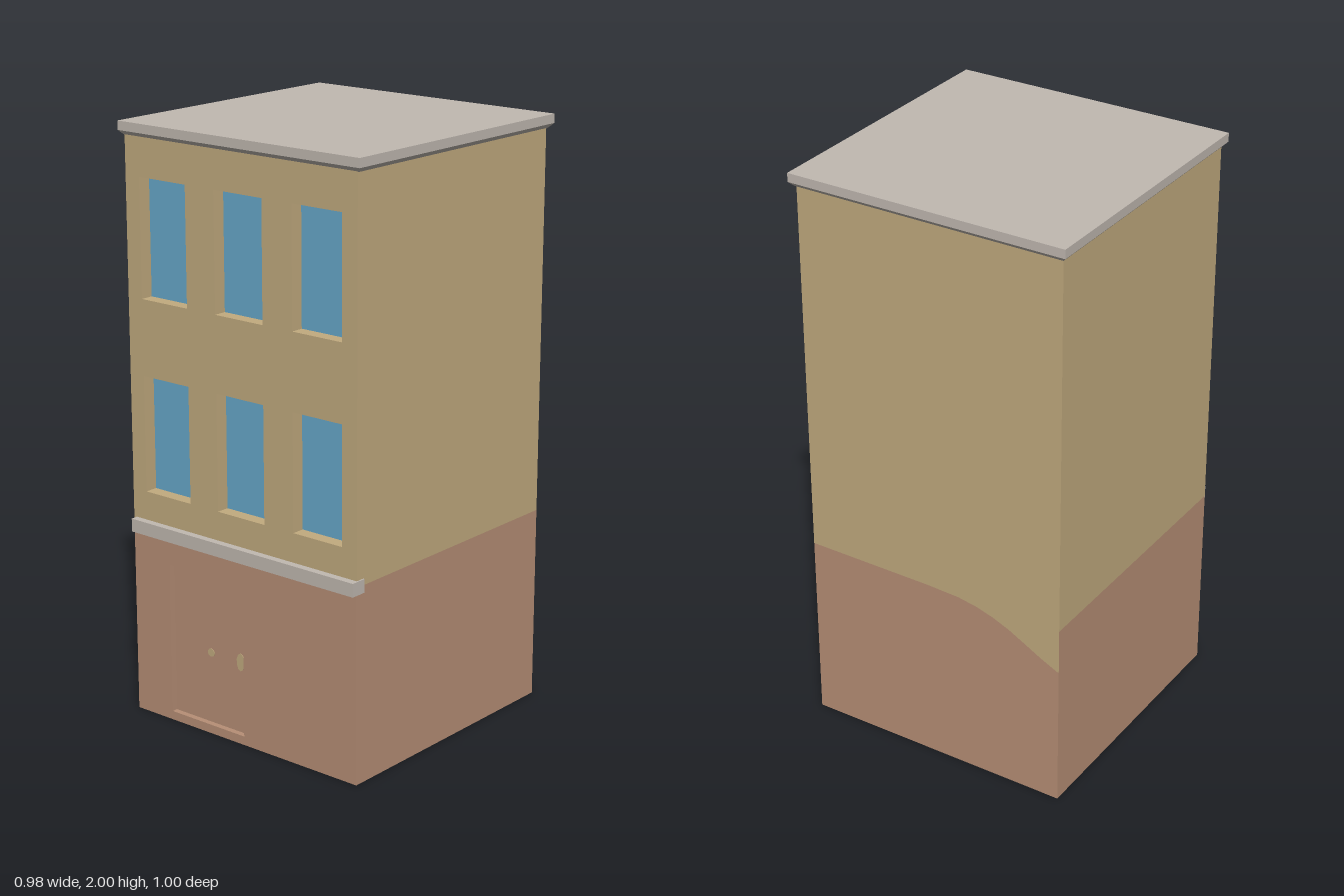
import * as THREE from 'three';

const mat = (name, color) => new THREE.MeshStandardMaterial({ name, color, side: THREE.DoubleSide });

export function createModel() {
  const model = new THREE.Group();
  model.name = 'townHouse';
  const ochre = mat('ochrePlaster', 0xc2ab7f);
  const brick = mat('brickPlaster', 0xb78f76);
  const glass = mat('windowGlass', 0x67a9ca);
  const stone = mat('paleStone', 0xc1b9b1);

  // Wall extents; the shell is hollow and open underneath
  const X0 = -0.477, X1 = 0.472, Z0 = -0.479, Z1 = 0.472;
  const SPLIT = 0.663, TOP = 1.96;

  const add = (name, geometry, material, x = 0, y = 0, z = 0) => {
    const mesh = new THREE.Mesh(geometry, material);
    mesh.name = name;
    mesh.position.set(x, y, z);
    model.add(mesh);
    return mesh;
  };
  const outline = (points) => new THREE.Shape(points.map(([x, y]) => new THREE.Vector2(x, y)));
  const rect = (x0, y0, x1, y1) => outline([[x0, y0], [x1, y0], [x1, y1], [x0, y1]]);

  // Open four-sided sleeve plus a panel at its back
  const recess = (name, [x0, y0, x1, y1], depth, reveal, panel) => {
    const w = x1 - x0, h = y1 - y0, x = (x0 + x1) / 2, y = (y0 + y1) / 2;
    let sleeve = new THREE.CylinderGeometry(Math.SQRT1_2, Math.SQRT1_2, 1, 4, 1, true, Math.PI / 4);
    sleeve.rotateX(Math.PI / 2).scale(w, h, depth);
    sleeve = sleeve.toNonIndexed();
    sleeve.computeVertexNormals();
    add(name + 'Reveal', sleeve, reveal, x, y, Z1 - depth / 2);
    add(name + 'Panel', new THREE.PlaneGeometry(w, h), panel, x, y, Z1 - depth);
  };

  // Front wall with window and door openings
  const upper = rect(X0, SPLIT, X1, TOP);
  for (const [y0, y1] of [[0.783, 1.176], [1.432, 1.828]]) {
    for (const x0 of [-0.418, -0.101, 0.216]) {
      const box = [x0, y0, x0 + 0.197, y1];
      upper.holes.push(rect(...box));
      recess('window', box, 0.045, ochre, glass);
    }
  }
  add('frontWallUpper', new THREE.ShapeGeometry(upper), ochre, 0, 0, Z1);

  const doorBox = [-0.32, 0.03, 0, 0.55], doorDepth = 0.02;
  const lower = rect(X0, 0, X1, SPLIT);
  lower.holes.push(rect(...doorBox));
  add('frontWallLower', new THREE.ShapeGeometry(lower), brick, 0, 0, Z1);
  recess('door', doorBox, doorDepth, brick, brick);

  // Thin ochre spots on the door, showing on both faces
  for (const [x, rx, ry] of [[-0.158, 0.015, 0.014], [-0.029, 0.017, 0.031]]) {
    const spot = new THREE.CylinderGeometry(1, 1, 0.004, 10);
    spot.rotateX(Math.PI / 2).scale(rx, ry, 1);
    add('doorSpot', spot, ochre, x, 0.277, Z1 - doorDepth);
  }

  // Side walls
  for (const [side, x, turn] of [['left', X1, 1], ['right', X0, -1]]) {
    for (const [part, y0, y1, m] of [['Lower', 0, SPLIT, brick], ['Upper', SPLIT, TOP, ochre]]) {
      const wall = add(side + 'Wall' + part, new THREE.PlaneGeometry(Z1 - Z0, y1 - y0), m,
        x, (y0 + y1) / 2, (Z0 + Z1) / 2);
      wall.rotation.y = turn * Math.PI / 2;
    }
  }

  // Back wall, its colour boundary dipping towards one corner (drawn in -x)
  const dip = [[-X1, SPLIT], [-0.02, 0.66], [0.1, 0.655], [0.17, 0.643], [0.23, 0.625],
    [0.29, 0.6], [0.35, 0.568], [0.41, 0.535], [-X0, 0.503]];
  const backLower = outline([[-X0, 0], ...[...dip].reverse(), [-X1, 0]]);
  const backUpper = outline([...dip, [-X0, TOP], [-X1, TOP]]);
  add('backWallLower', new THREE.ShapeGeometry(backLower), brick, 0, 0, Z0).rotation.y = Math.PI;
  add('backWallUpper', new THREE.ShapeGeometry(backUpper), ochre, 0, 0, Z0).rotation.y = Math.PI;

  // Stone band across the front
  add('stoneBand', new THREE.BoxGeometry(0.942, 0.045, 0.057), stone, 0.006, 0.6625, 0.4685);

  // Flat roof slab over a tapered cornice
  const roofX = -0.0025, roofZ = -0.007;
  add('roofSlab', new THREE.BoxGeometry(0.984, 0.03, 0.984), stone, roofX, 1.985, roofZ);
  let cornice = new THREE.CylinderGeometry(0.984 * Math.SQRT1_2, 0.955 * Math.SQRT1_2, 0.015, 4, 1, false, Math.PI / 4);
  cornice = cornice.toNonIndexed();
  cornice.computeVertexNormals();
  add('cornice', cornice, stone, roofX, 1.9625, roofZ);

  return model;
}
